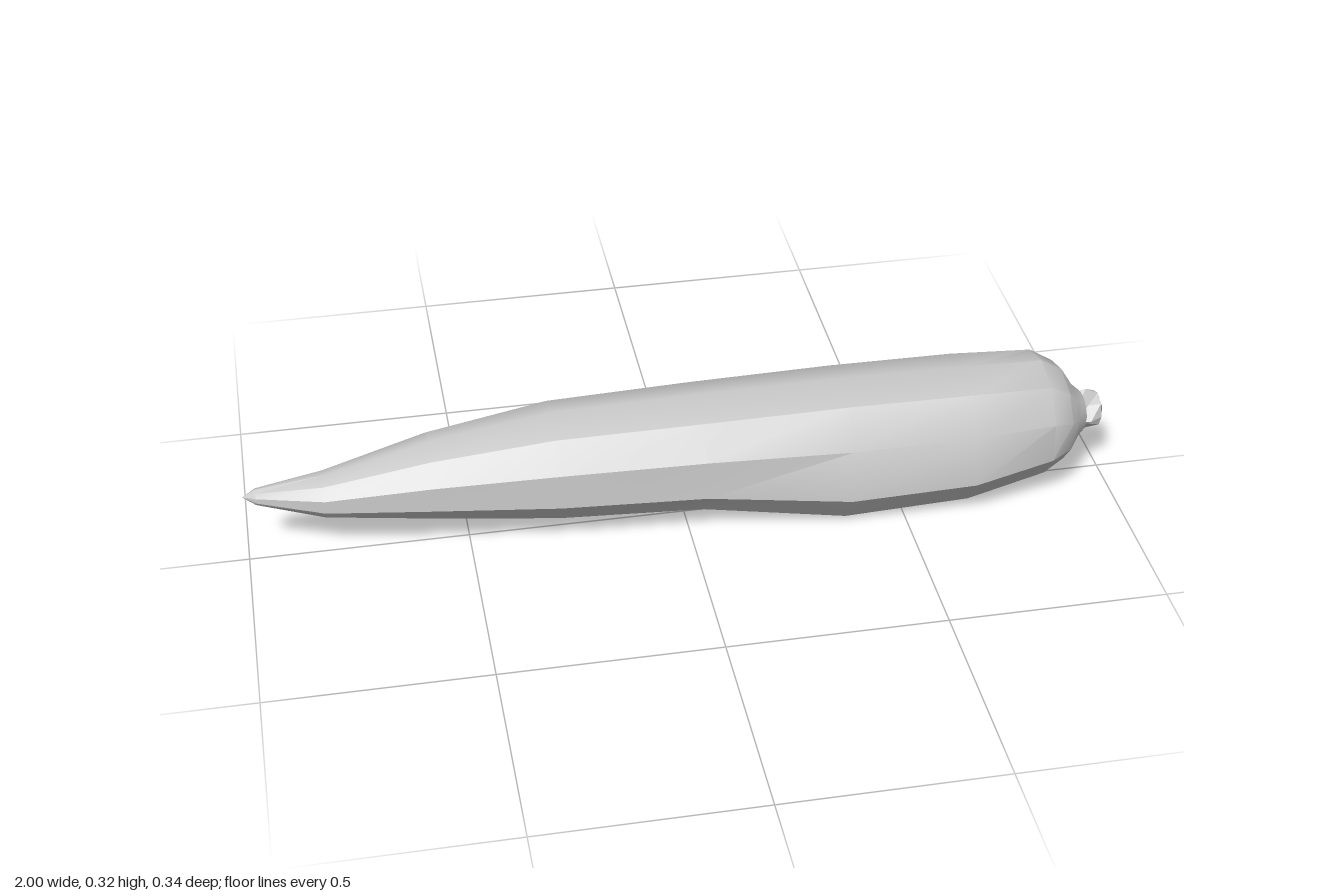
import * as THREE from 'three';
import { toCreasedNormals } from 'three/addons/utils/BufferGeometryUtils.js';

// Skin a list of equal-length rings; rings run from +y towards +z, along +x.
function loft(rings, crease) {
  const pos = [];
  const tri = (a, b, c) => {
    const area = b.clone().sub(a).cross(c.clone().sub(a)).length();
    if (area > 1e-9) [a, b, c].forEach((p) => pos.push(p.x, p.y, p.z));
  };
  for (let i = 0; i < rings.length - 1; i++) {
    const r = rings[i], s = rings[i + 1], n = r.length;
    for (let k = 0; k < n; k++) {
      const j = (k + 1) % n;
      tri(r[k], r[j], s[k]);
      tri(r[j], s[j], s[k]);
    }
  }
  const geo = new THREE.BufferGeometry();
  geo.setAttribute('position', new THREE.Float32BufferAttribute(pos, 3));
  geo.computeVertexNormals();
  return crease ? toCreasedNormals(geo, crease) : geo;
}

// Lopsided ten-sided section of the thick end, as [z, y] within -1..1
const BULGE = [[-0.03, 1], [0.56, 0.92], [0.92, 0.41], [1, -0.39], [0.65, -0.91],
  [-0.03, -1], [-0.62, -0.79], [-1, -0.25], [-1, 0.41], [-0.62, 0.82]];

// Body stations: x, bottom y, top y, back z, front z, share of the lopsided section
const BODY = [
  [-1, 0.17, 0.17, -0.008, -0.008, 0],
  [-0.97, 0.152, 0.19, -0.022, 0.014, 0],
  [-0.82, 0.115, 0.217, -0.047, 0.06, 0],
  [-0.58, 0.085, 0.27, -0.105, 0.093, 0.2],
  [-0.3, 0.057, 0.31, -0.145, 0.125, 0.3],
  [0.03, 0.045, 0.318, -0.157, 0.14, 0.4],
  [0.36, 0.002, 0.322, -0.172, 0.165, 1],
  [0.65, 0.018, 0.322, -0.167, 0.17, 1],
  [0.84, 0.04, 0.315, -0.148, 0.135, 0.4],
  [0.89, 0.062, 0.286, -0.122, 0.11, 0],
  [0.92, 0.1, 0.237, -0.073, 0.068, 0],
  [0.945, 0.12, 0.215, -0.05, 0.045, 0],
  [0.945, 0.167, 0.167, -0.004, -0.004, 0],
];

function bodyRing([x, y0, y1, z0, z1, w]) {
  return BULGE.map(([bz, by], k) => {
    const a = (k * Math.PI) / 5;
    const z = THREE.MathUtils.lerp(Math.sin(a) / Math.cos(Math.PI / 10), bz, w);
    const y = THREE.MathUtils.lerp(Math.cos(a), by, w);
    return new THREE.Vector3(x, (y0 + y1) / 2 + (y * (y1 - y0)) / 2, (z0 + z1) / 2 + (z * (z1 - z0)) / 2);
  });
}

// Eight-sided stem ring; ridge and valley radii alternate
function stemRing([x, ridge, valley]) {
  return Array.from({ length: 8 }, (_, k) => {
    const a = (k * Math.PI) / 4, r = k % 2 ? valley : ridge;
    return new THREE.Vector3(x, 0.167 + r * Math.cos(a), -0.006 + r * Math.sin(a));
  });
}

export function createModel() {
  const group = new THREE.Group();
  const add = (name, geo, options) => {
    const mesh = new THREE.Mesh(geo, new THREE.MeshStandardMaterial({ color: 0xcccccc, ...options }));
    mesh.name = name;
    group.add(mesh);
  };

  // Long tapering body, sharp along its ridges and smooth at the shoulder
  add('body', loft(BODY.map(bodyRing), 0.58));

  // Short faceted stem with small ridges
  const stem = [[0.925, 0.05, 0.045], [0.955, 0.056, 0.036], [0.985, 0.041, 0.041], [1, 0, 0]];
  add('stem', loft(stem.map(stemRing)), { flatShading: true });

  return group;
}
